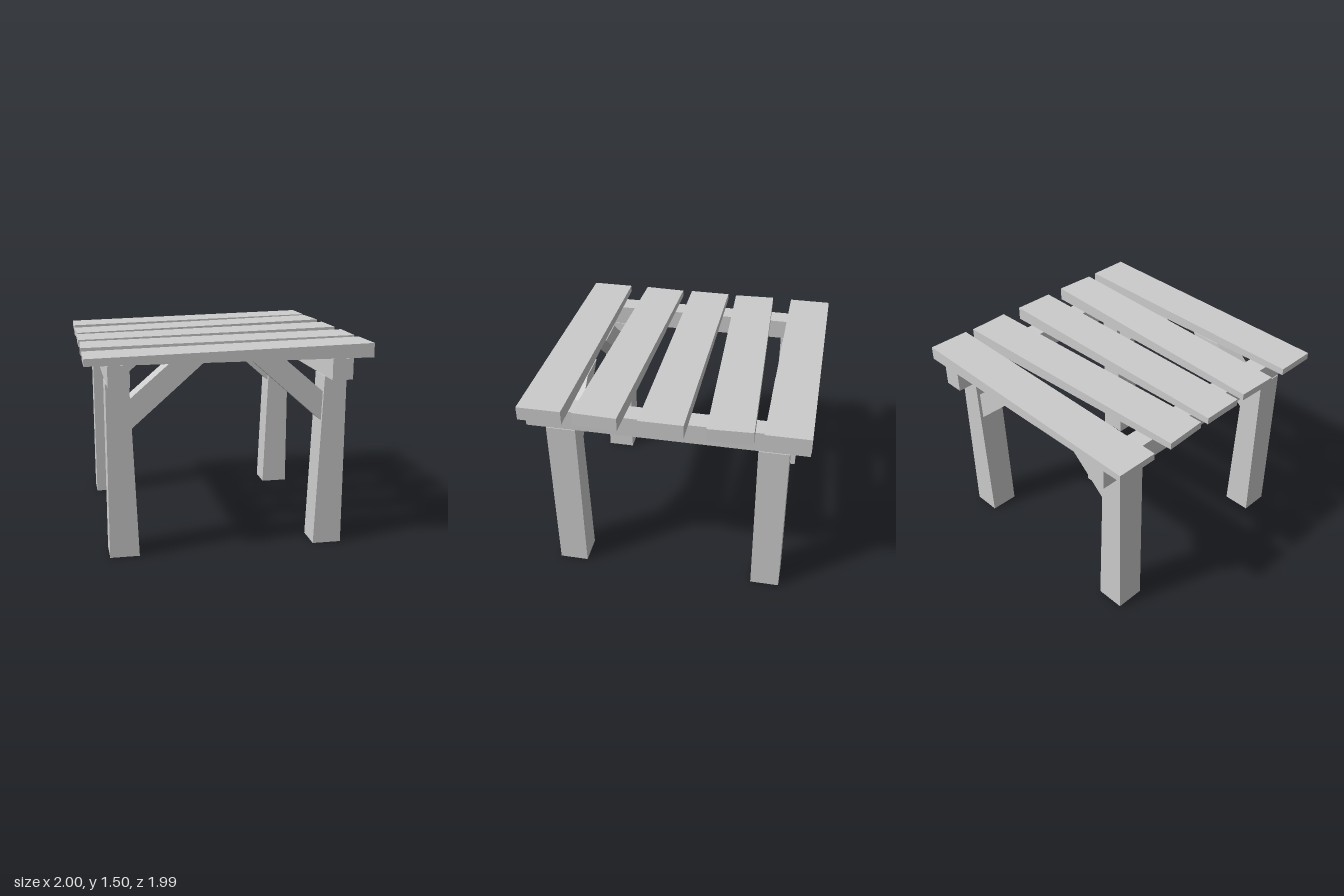
import * as THREE from 'three';

const wood = new THREE.MeshStandardMaterial({ color: 0xcccccc });
wood.name = 'plain grey wood';

// Flat outline in x/y, given depth along z and centred on z = 0
function slab(name, points, depth) {
  const shape = new THREE.Shape(points.map(([x, y]) => new THREE.Vector2(x, y)));
  const geometry = new THREE.ExtrudeGeometry(shape, { depth, bevelEnabled: false });
  geometry.translate(0, 0, -depth / 2);
  const mesh = new THREE.Mesh(geometry, wood);
  mesh.name = name;
  return mesh;
}

export function createModel() {
  const table = new THREE.Group();
  table.name = 'plankTable';

  // Table top: five wedge planks, thicker at +x, two of them laid askew
  const planks = [
    [-0.84, 0],
    [-0.422, 0.043],
    [-0.002, 0],
    [0.417, -0.034],
    [0.837, 0],
  ];
  planks.forEach(([z, turn], i) => {
    const outline = [[-0.995, 1.4], [0.992, 1.4], [0.992, 1.5], [-0.995, 1.45]];
    const plank = slab(`plank${i + 1}`, outline, 0.312);
    plank.position.z = z;
    plank.rotation.y = turn;
    table.add(plank);
  });

  for (const side of [-1, 1]) {
    const label = side > 0 ? 'left' : 'right';
    const mirror = (points) => points.map(([x, y]) => [side * x, y]);

    // Rail carrying the planks
    const rail = new THREE.Mesh(new THREE.BoxGeometry(0.147, 0.15, 1.99), wood);
    rail.name = `${label}Rail`;
    rail.position.set(side * 0.77, 1.325, 0.002);
    table.add(rail);

    for (const end of [-1, 1]) {
      const place = `${label}${end > 0 ? 'Front' : 'Back'}`;

      // Leg, flared inward toward the floor
      const leg = slab(`${place}Leg`,
        mirror([[0.64, 0], [0.85, 0], [0.85, 1.25], [0.69, 1.25]]), 0.212);
      leg.position.z = end * 0.747;
      table.add(leg);

      // Diagonal brace from the leg to the underside of the end plank
      const brace = slab(`${place}Brace`,
        mirror([[0.68, 0.925], [0.7, 0.93], [0.7, 1.125], [0.38, 1.4], [0.14, 1.4]]), 0.155);
      brace.position.z = end * 0.752;
      table.add(brace);
    }
  }

  return table;
}
